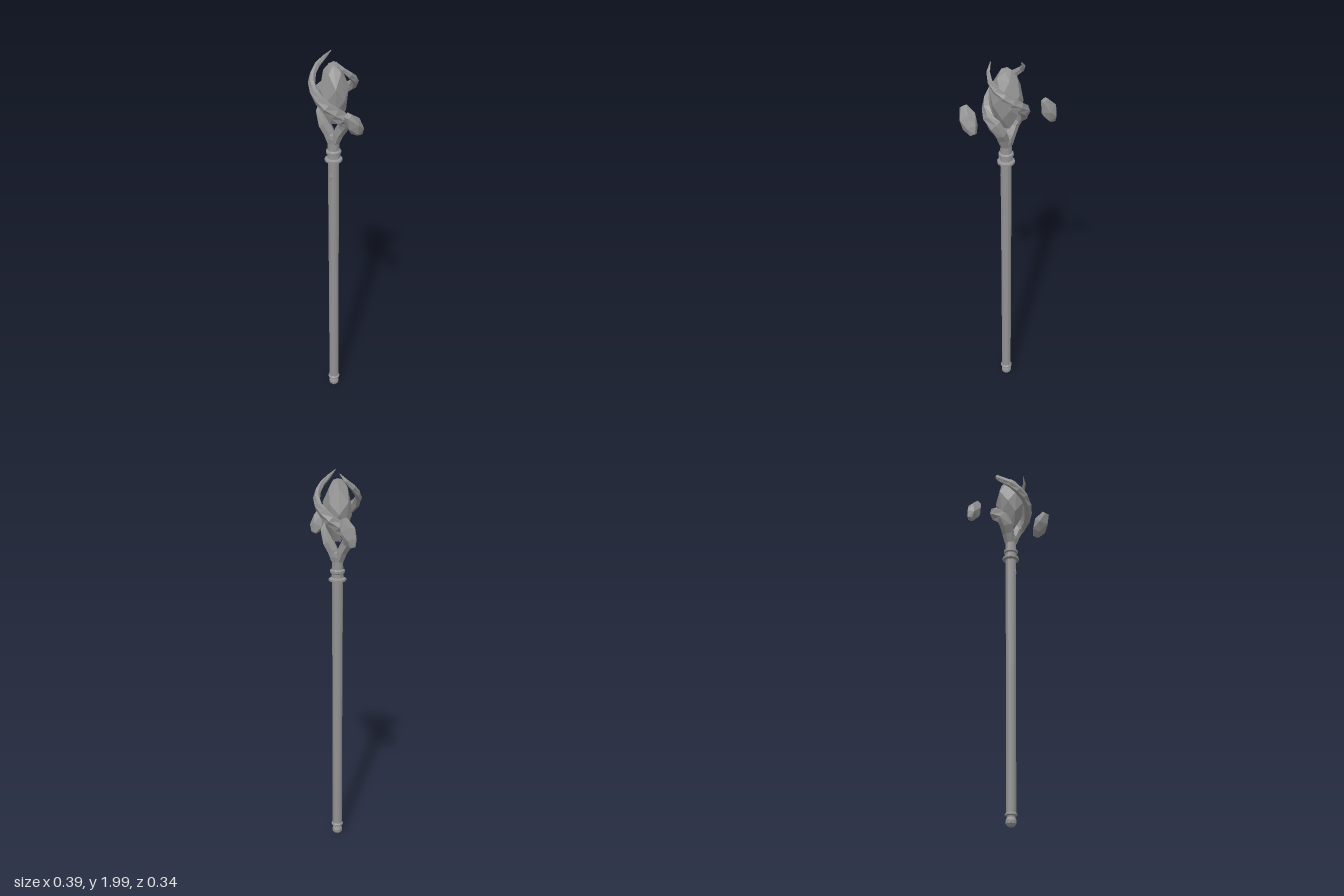
import * as THREE from 'three';
import { ConvexGeometry } from 'three/addons/geometries/ConvexGeometry.js';

const material = new THREE.MeshStandardMaterial({ color: 0x929292, flatShading: true });
const AXIS = new THREE.Vector3(-0.006, 0, 0.012); // centre line of the staff

function part(name, geometry, x = 0, y = 0, z = 0) {
  const mesh = new THREE.Mesh(geometry, material);
  mesh.name = name;
  mesh.position.set(x, y, z);
  return mesh;
}

function lathe(name, profile, sides) {
  const points = profile.map(([r, y]) => new THREE.Vector2(r, y));
  return part(name, new THREE.LatheGeometry(points, sides), AXIS.x, 0, AXIS.z);
}

// Faceted gem: convex hull of slightly uneven, staggered rings [radius, y, sides]
function gem(name, rings, squash = 1) {
  const points = [];
  rings.forEach(([r, y, sides], k) => {
    for (let i = 0; i < sides; i++) {
      const a = ((i + k * 0.5) / sides) * Math.PI * 2 + 0.3;
      const wobble = Math.sin(i * 2.3 + k * 1.7);
      const rr = r * (1 + 0.06 * wobble);
      points.push(new THREE.Vector3(Math.cos(a) * rr, y + 0.1 * r * wobble, Math.sin(a) * rr * squash));
    }
  });
  return part(name, new ConvexGeometry(points));
}

// Curling horn swept along a widening spiral: [degrees, radius, height]
function hornGeometry() {
  const path = [
    [0, 0.01, 1.555], [0, 0.03, 1.61], [2, 0.066, 1.672], [35, 0.084, 1.715],
    [88, 0.101, 1.785], [135, 0.104, 1.85], [180, 0.1, 1.91], [210, 0.087, 1.955], [234, 0.07, 1.995],
  ].map(([deg, r, y]) => {
    const a = THREE.MathUtils.degToRad(deg);
    return new THREE.Vector3(Math.cos(a) * r, y, Math.sin(a) * r);
  });
  const curve = new THREE.CatmullRomCurve3(path);
  const segments = 13, sides = 6, positions = [], index = [];
  for (let i = 0; i <= segments; i++) {
    const t = i / segments;
    const p = curve.getPointAt(t), tangent = curve.getTangentAt(t);
    const out = new THREE.Vector3(p.x, 0, p.z).normalize();
    out.addScaledVector(tangent, -out.dot(tangent)).normalize();
    const side = new THREE.Vector3().crossVectors(tangent, out);
    const taper = t < 0.45 ? 0.8 + 0.25 * Math.sin((t / 0.45) * Math.PI) : 0.05 + 0.75 * Math.pow((1 - t) / 0.55, 0.55);
    for (let j = 0; j < sides; j++) {
      const a = (j / sides) * Math.PI * 2;
      const v = p.clone()
        .addScaledVector(out, Math.cos(a) * 0.029 * taper)
        .addScaledVector(side, Math.sin(a) * 0.036 * taper);
      positions.push(v.x, v.y, v.z);
    }
  }
  for (let i = 0; i < segments; i++) {
    for (let j = 0; j < sides; j++) {
      const a = i * sides + j, b = i * sides + ((j + 1) % sides);
      index.push(a, b, a + sides, b, b + sides, a + sides);
    }
  }
  const geometry = new THREE.BufferGeometry();
  geometry.setAttribute('position', new THREE.Float32BufferAttribute(positions, 3));
  geometry.setIndex(index);
  geometry.computeVertexNormals();
  return geometry;
}

export function createModel() {
  const group = new THREE.Group();
  group.name = 'crystalStaff';

  // Pommel, pole and neck
  group.add(lathe('pommel', [
    [0, 0.004], [0.016, 0.008], [0.026, 0.02], [0.027, 0.035], [0.02, 0.052],
    [0.021, 0.058], [0.031, 0.061], [0.031, 0.068], [0.024, 0.074], [0, 0.074],
  ], 12));
  group.add(lathe('pole', [[0.025, 0.07], [0.026, 0.8], [0.028, 1.45]], 12));
  group.add(lathe('collar', [
    [0.026, 1.446], [0.044, 1.451], [0.044, 1.462], [0.031, 1.468], [0.03, 1.488],
    [0.038, 1.493], [0.038, 1.505], [0.029, 1.511], [0.028, 1.55], [0.032, 1.575],
    [0.03, 1.595], [0, 1.605],
  ], 12));

  // Small inlaid stone on the front of the pole
  const inlay = part('inlay', new THREE.OctahedronGeometry(0.012), AXIS.x, 1.37, AXIS.z + 0.028);
  inlay.scale.set(1, 2.6, 0.4);
  group.add(inlay);

  // Two interlocking horns, half a turn apart
  const horn = hornGeometry();
  for (let i = 0; i < 2; i++) {
    const mesh = part(i ? 'rightHorn' : 'leftHorn', horn, AXIS.x, 0, AXIS.z);
    mesh.rotation.y = i * Math.PI;
    group.add(mesh);
  }

  // Large crystal held between the horns
  const crystal = gem('mainCrystal', [
    [0.025, 1.655, 4], [0.062, 1.73, 5], [0.074, 1.79, 5], [0.075, 1.85, 5], [0.048, 1.92, 5], [0.022, 1.957, 4],
  ], 1.05);
  crystal.position.set(-0.006, 0, 0.01);
  group.add(crystal);

  // Floating shards on either side
  const shardRings = [[0.018, -0.073, 4], [0.038, -0.038, 5], [0.042, 0.015, 5], [0.02, 0.07, 4]];
  const rightShard = gem('rightShard', shardRings, 0.85);
  rightShard.position.set(-0.144, 1.737, -0.137);
  rightShard.rotation.set(0.1, 0, -0.42);
  const leftShard = gem('leftShard', shardRings, 0.95);
  leftShard.position.set(0.153, 1.725, 0.112);
  leftShard.rotation.set(0.6, 0, 0.15);
  group.add(rightShard, leftShard);

  return group;
}
